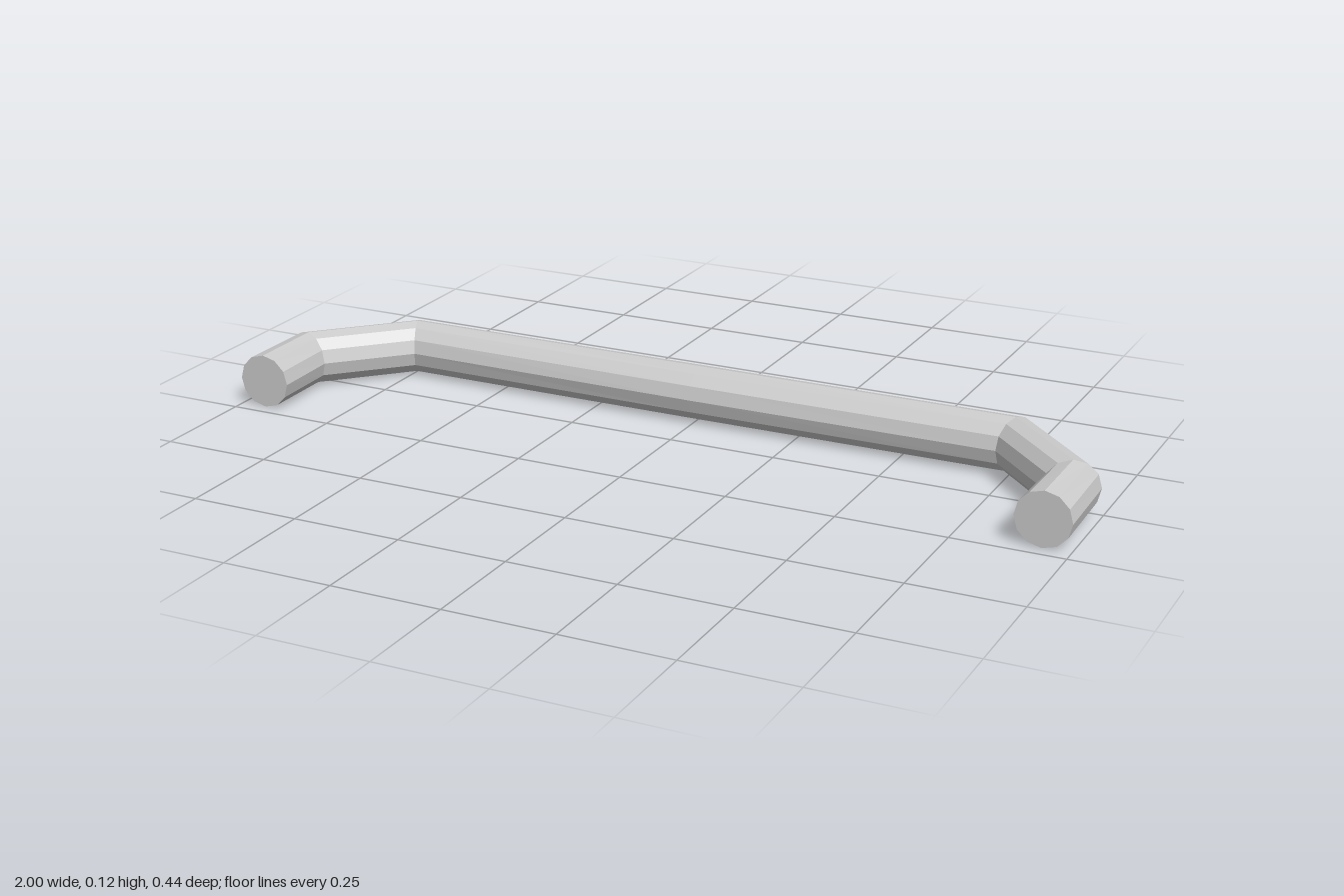
import * as THREE from 'three';

const RADIUS = 0.0625;
const SIDES = 12;
const UP = new THREE.Vector3(0, 1, 0);

// Faceted round bar along a bent path: one ring per point, turned to the bend's bisector
function bentBar(points) {
  const rings = points.map((p, i) => {
    const tangent = new THREE.Vector3();
    if (i > 0) tangent.add(p.clone().sub(points[i - 1]).normalize());
    if (i < points.length - 1) tangent.add(points[i + 1].clone().sub(p).normalize());
    const side = UP.clone().cross(tangent.normalize());
    return Array.from({ length: SIDES }, (_, j) => {
      const a = (j / SIDES) * Math.PI * 2;
      return p.clone()
        .addScaledVector(side, RADIUS * Math.cos(a))
        .addScaledVector(UP, RADIUS * Math.sin(a));
    });
  });

  const corners = [];
  const last = rings.length - 1;
  for (let j = 0; j < SIDES; j++) {
    const k = (j + 1) % SIDES;
    // Bar walls
    for (let i = 0; i < last; i++) {
      const [a, b, c, d] = [rings[i][j], rings[i][k], rings[i + 1][k], rings[i + 1][j]];
      corners.push(a, b, c, a, c, d);
    }
    // Flat mounting ends
    corners.push(points[0], rings[0][k], rings[0][j]);
    corners.push(points[last], rings[last][j], rings[last][k]);
  }
  const geometry = new THREE.BufferGeometry().setFromPoints(corners);
  geometry.computeVertexNormals();
  return geometry;
}

export function createModel() {
  const group = new THREE.Group();
  group.name = 'pullHandle';

  // Half of the centre line: mounting end, two 45 degree bends; mirrored about the middle
  const half = [[0.9375, 0.2188], [0.9375, 0.031], [0.751, -0.1563]];
  const path = [
    ...half.map(([x, z]) => [-x, z]),
    [0, -0.1563],
    ...half.slice().reverse(),
  ].map(([x, z]) => new THREE.Vector3(x, RADIUS, z));

  const material = new THREE.MeshStandardMaterial({ color: 0xcccccc, flatShading: true });
  const bar = new THREE.Mesh(bentBar(path), material);
  bar.name = 'handleBar';
  group.add(bar);
  return group;
}
